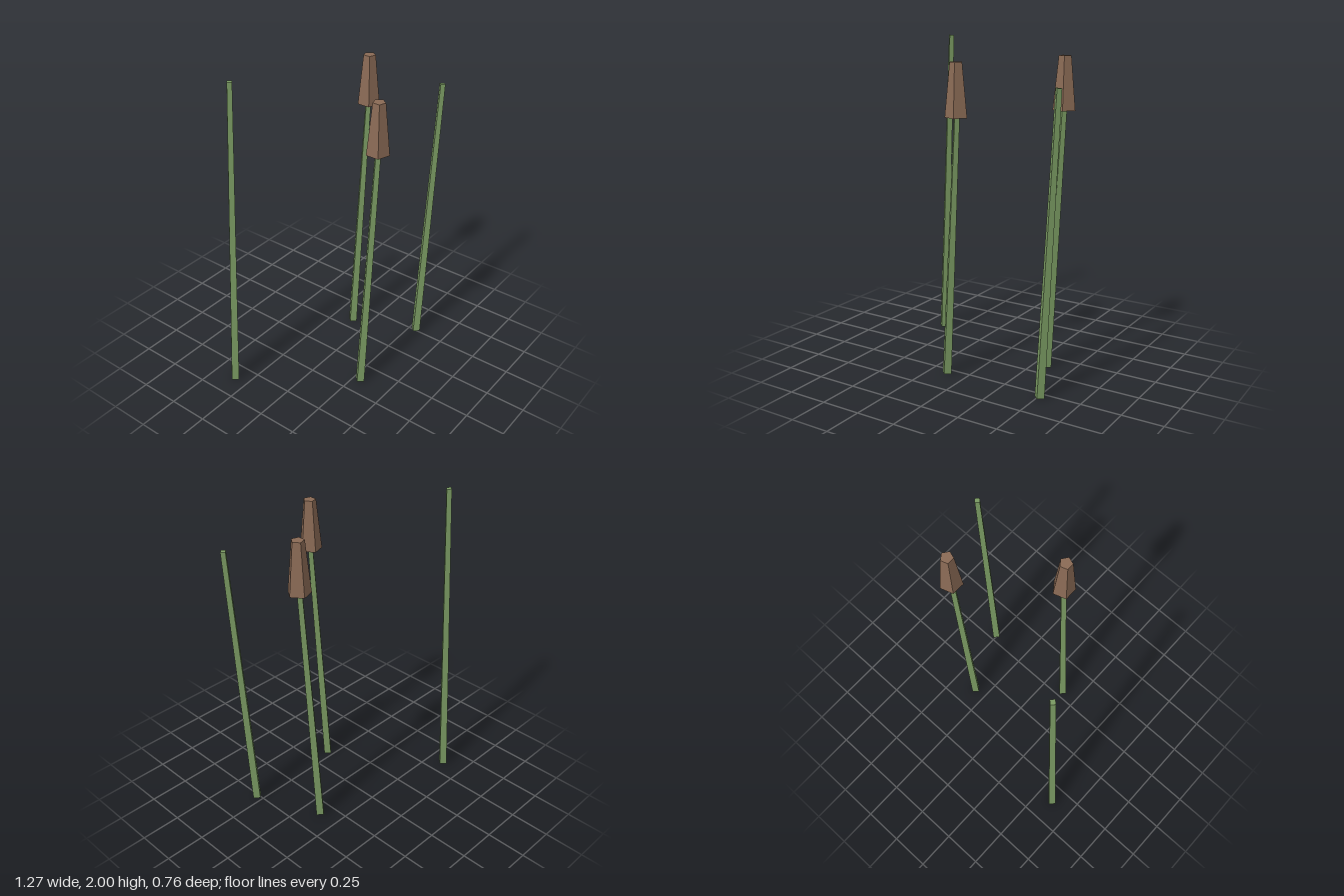
import * as THREE from 'three';

const stemGreen = new THREE.MeshStandardMaterial({ color: 0x7a9a62 });
stemGreen.name = 'stemGreen';
const headBrown = new THREE.MeshStandardMaterial({ color: 0x8a6a55 });
headBrown.name = 'headBrown';

// Each reed: stem base [x, z], stem tip [x, y, z], optional seed head
const reeds = [
  { base: [-0.605, -0.348], tip: [-0.503, 2, -0.325] },
  { base: [-0.135, 0.296], tip: [-0.032, 1.6, 0.316], head: [-0.033, 1.58, 0.315] },
  { base: [0.336, -0.111], tip: [0.435, 1.63, -0.088], head: [0.438, 1.61, -0.088] },
  { base: [0.511, 0.296], tip: [0.612, 1.78, 0.318] },
];

// Flat normals baked in so every facet stays crisp
function faceted(geometry) {
  const flat = geometry.toNonIndexed();
  flat.computeVertexNormals();
  return flat;
}

// Four-sided tapering stem leaning from base to tip
function makeStem(base, tip) {
  const start = new THREE.Vector3(base[0], 0.001, base[1]);
  const end = new THREE.Vector3(...tip);
  const lean = end.clone().sub(start);
  const stem = new THREE.Mesh(faceted(new THREE.CylinderGeometry(0.02, 0.032, lean.length(), 4)), stemGreen);
  stem.name = 'stem';
  stem.position.copy(start).add(end).multiplyScalar(0.5);
  stem.quaternion.setFromUnitVectors(new THREE.Vector3(0, 1, 0), lean.normalize());
  return stem;
}

// Upright five-sided seed head with one corner toward +x
function makeHead([x, y, z]) {
  const height = 0.31;
  const geometry = new THREE.CylinderGeometry(0.038, 0.069, height, 5, 1, false, Math.PI / 2);
  const head = new THREE.Mesh(faceted(geometry), headBrown);
  head.name = 'seedHead';
  head.position.set(x, y + height / 2, z);
  return head;
}

export function createModel() {
  const model = new THREE.Group();
  model.name = 'reeds';
  for (const { base, tip, head } of reeds) {
    const reed = new THREE.Group();
    reed.name = 'reed';
    reed.add(makeStem(base, tip));
    if (head) reed.add(makeHead(head));
    model.add(reed);
  }
  return model;
}
